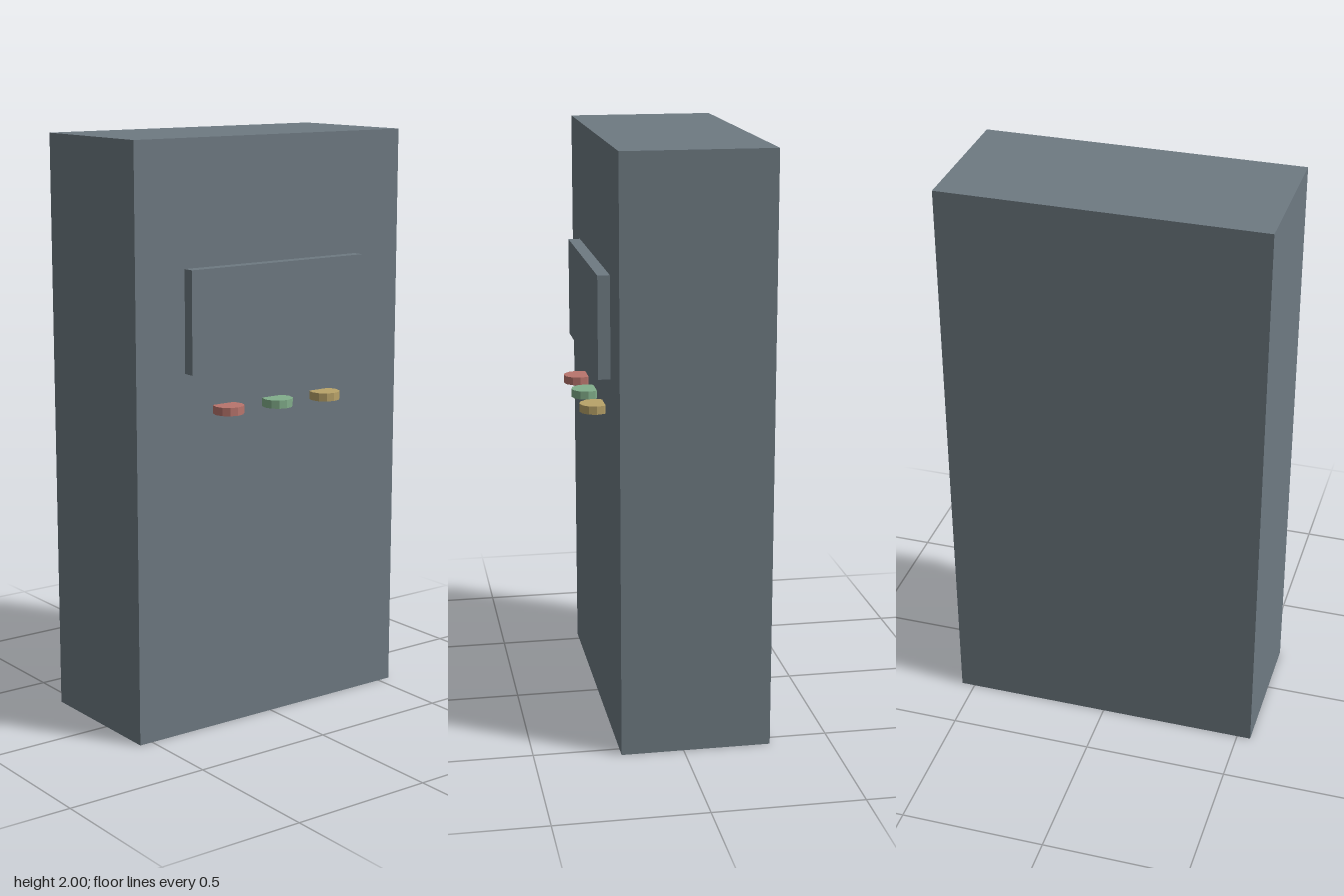
import * as THREE from 'three';

const paint = (name, color) => {
  const material = new THREE.MeshStandardMaterial({ color });
  material.name = name;
  return material;
};

export function createModel() {
  const group = new THREE.Group();
  group.name = 'controlCabinet';
  const steel = paint('slate grey', 0x6e7a82);

  const add = (name, geometry, material, x, y, z) => {
    const mesh = new THREE.Mesh(geometry, material);
    mesh.name = name;
    mesh.position.set(x, y, z);
    group.add(mesh);
  };

  // Cabinet body and raised front panel
  add('cabinet', new THREE.BoxGeometry(1.096, 2, 0.505), steel, 0, 1, -0.0425);
  add('displayPanel', new THREE.BoxGeometry(0.714, 0.343, 0.06), steel, 0, 1.411, 0.221);

  // Row of upright disc buttons, half sunk into the front
  const disc = new THREE.CylinderGeometry(0.052, 0.052, 0.028, 12).toNonIndexed();
  disc.computeVertexNormals();
  const buttons = [
    ['redButton', paint('muted red', 0xb9756d), -0.204],
    ['greenButton', paint('muted green', 0x82ae8b), 0],
    ['yellowButton', paint('muted yellow', 0xb9a369), 0.204],
  ];
  for (const [name, material, x] of buttons) add(name, disc, material, x, 1.109, 0.241);

  return group;
}
